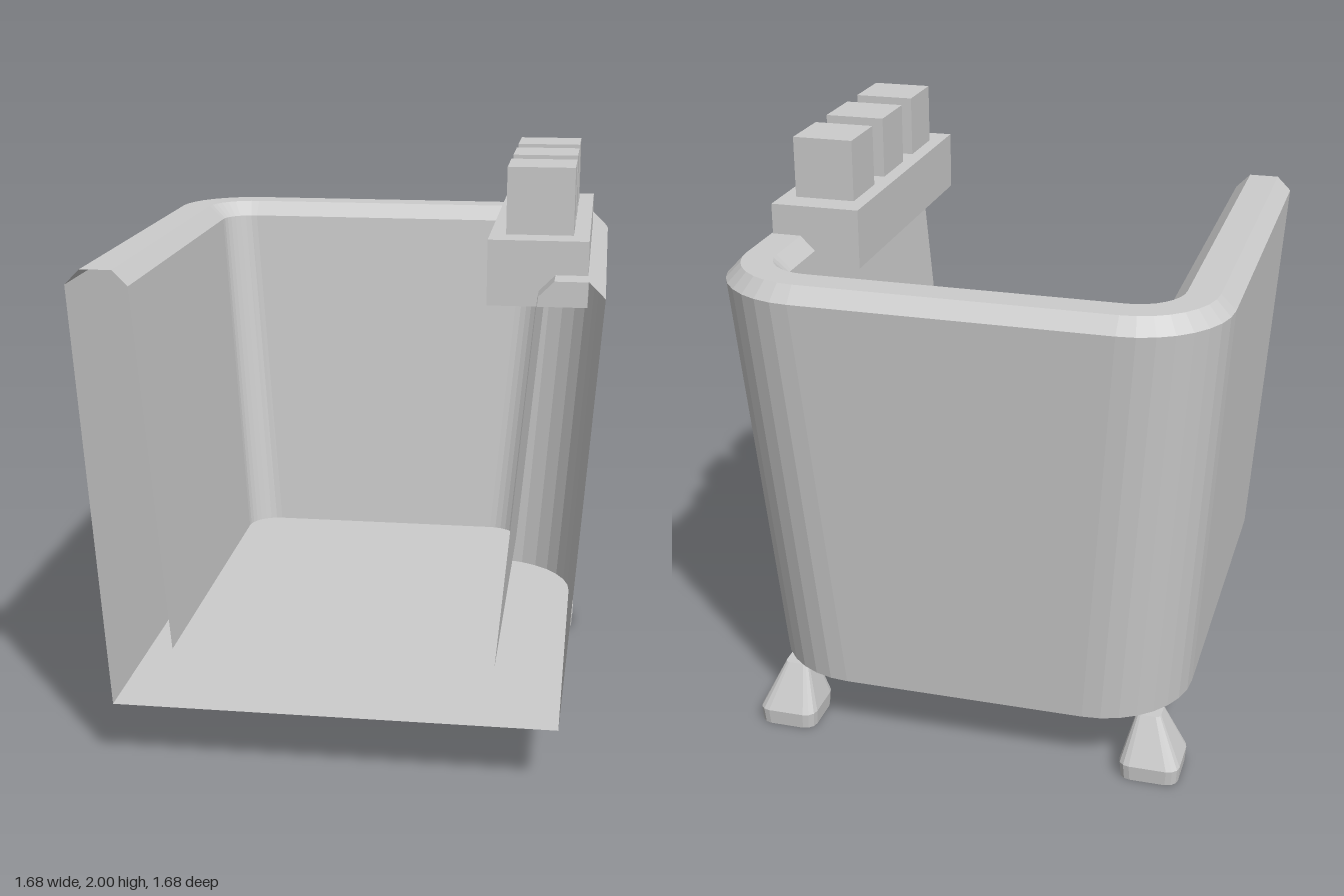
import * as THREE from 'three';

const grey = new THREE.MeshStandardMaterial({ color: 0xcccccc, flatShading: true });
const shellGrey = new THREE.MeshStandardMaterial({ color: 0xcccccc, flatShading: true, side: THREE.DoubleSide });
const FRONT = 0.84;

// Skin a stack of equally long rings of [x, y, z] points
function loft(rings) {
  const pos = [];
  for (let i = 0; i < rings.length - 1; i++) {
    for (let j = 0; j < rings[i].length - 1; j++) {
      const a = rings[i][j], b = rings[i][j + 1];
      const c = rings[i + 1][j], d = rings[i + 1][j + 1];
      pos.push(...a, ...b, ...c, ...b, ...d, ...c);
    }
  }
  const geo = new THREE.BufferGeometry();
  geo.setAttribute('position', new THREE.Float32BufferAttribute(pos, 3));
  geo.computeVertexNormals();
  return geo;
}

// Points of a rounded corner; quadrant 0 is back +x, then counter-clockwise from above
function corner(cx, cz, y, r, quadrant, segments) {
  const pts = [];
  for (let k = 0; k <= segments; k++) {
    const t = (quadrant + k / segments) * Math.PI / 2;
    pts.push([cx + r * Math.cos(t), y, cz - r * Math.sin(t)]);
  }
  return pts;
}

// U-shaped outline, open at the front; half = 0 collapses it to a point for flat plates
function wallRing([y, half, r]) {
  if (half === 0) return Array.from({ length: 20 }, () => [0, y, FRONT]);
  const c = half - r;
  return [
    [half, y, FRONT],
    ...corner(c, -c, y, r, 0, 8),
    ...corner(-c, -c, y, r, 1, 8),
    [-half, y, FRONT],
  ];
}

// Closed rounded square for the feet
function footRing(sx, [y, centre, half, r]) {
  const c = half - r, pts = [];
  for (let q = 0; q < 4; q++) {
    const dx = q === 0 || q === 3 ? c : -c;
    const dz = q < 2 ? -c : c;
    pts.push(...corner(sx * centre + dx, -centre + dz, y, r, q, 3));
  }
  pts.push(pts[0]);
  return pts;
}

function add(parent, name, geo, material = grey) {
  const mesh = new THREE.Mesh(geo, material);
  mesh.name = name;
  parent.add(mesh);
  return mesh;
}

function box(parent, name, [x0, x1], [y0, y1], [z0, z1]) {
  add(parent, name, new THREE.BoxGeometry(x1 - x0, y1 - y0, z1 - z0))
    .position.set((x0 + x1) / 2, (y0 + y1) / 2, (z0 + z1) / 2);
}

export function createModel() {
  const model = new THREE.Group();
  model.name = 'openTub';

  // Hollow shell: underside, outer wall, chamfered rim, inner wall, floor (height, half width, radius)
  const profile = [
    [0.215, 0, 0], [0.215, 0.74, 0.32],
    [1.635, 0.84, 0.315], [1.685, 0.79, 0.265],
    [1.685, 0.685, 0.16], [1.635, 0.635, 0.11],
    [0.425, 0.53, 0.11], [0.425, 0, 0],
  ];
  add(model, 'tubShell', loft(profile.map(wallRing)), shellGrey);

  // Two tapered feet under the back corners (height, centre, half width, radius)
  const footProfile = [
    [0, 0.652, 0.001, 0.0005], [0, 0.652, 0.1, 0.04],
    [0.055, 0.652, 0.104, 0.04], [0.215, 0.635, 0.042, 0.016],
    [0.215, 0.635, 0.001, 0.0005],
  ];
  for (const [name, sx] of [['leftFoot', 1], ['rightFoot', -1]]) {
    add(model, name, loft(footProfile.map((p) => footRing(sx, p))));
  }

  // Control bar with three block buttons on the left wall
  const controls = new THREE.Group();
  controls.name = 'controlBar';
  box(controls, 'bar', [0.475, 0.785], [1.585, 1.79], [-0.315, 0.735]);
  for (let i = 0; i < 3; i++) {
    const z = -0.215 + i * 0.316;
    box(controls, 'button', [0.525, 0.735], [1.79, 2], [z, z + 0.21]);
  }
  model.add(controls);

  return model;
}
